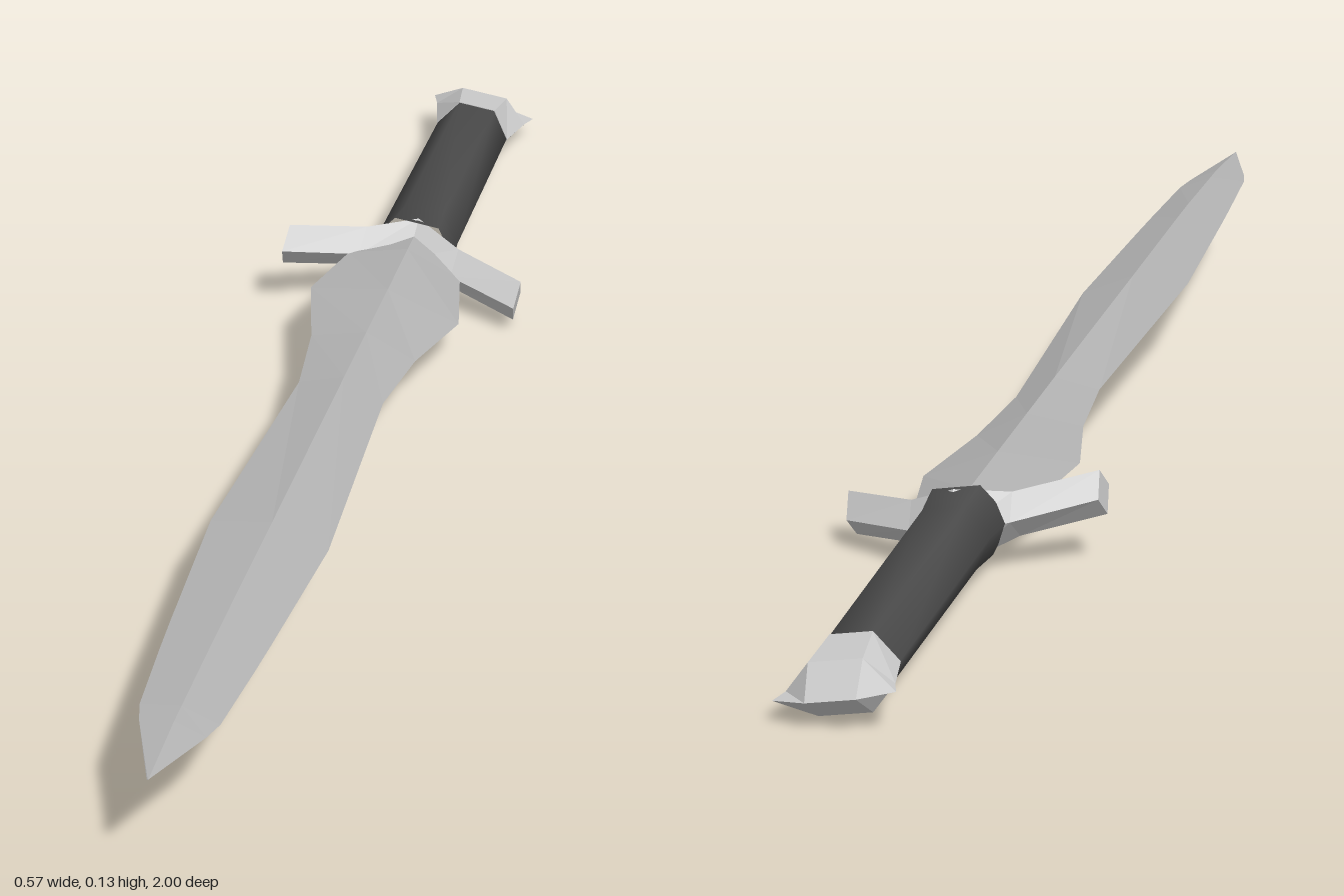
import * as THREE from 'three';

// Skin a list of equal-length rings of [x, y, z] points, with both ends capped.
function loft(rings, smooth = false) {
  const n = rings[0].length, pos = [], idx = [];
  rings.forEach(r => r.forEach(p => pos.push(...p)));
  for (let i = 0; i < rings.length - 1; i++) {
    for (let j = 0; j < n; j++) {
      const k = (j + 1) % n, a = i * n + j, b = i * n + k;
      idx.push(a, b, a + n, b, b + n, a + n);
    }
  }
  const last = (rings.length - 1) * n;
  for (let j = 1; j < n - 1; j++) {
    if (!smooth) idx.push(0, j + 1, j, last, last + j, last + j + 1);
  }
  const geo = new THREE.BufferGeometry();
  geo.setAttribute('position', new THREE.Float32BufferAttribute(pos, 3));
  geo.setIndex(idx);
  const out = smooth ? geo : geo.toNonIndexed();
  out.computeVertexNormals();
  return out;
}

// Six-sided ring across the grip axis
function hexRing(rx, ry, z) {
  return Array.from({ length: 6 }, (_, i) => {
    const a = i * Math.PI / 3;
    return [rx * Math.cos(a), ry * Math.sin(a), z];
  });
}

export function createModel() {
  const material = (name, color) => {
    const m = new THREE.MeshStandardMaterial({ color });
    m.name = name;
    return m;
  };
  const bladeSteel = material('blade steel', 0xb2b2b2);
  const fittingSteel = material('fitting steel', 0xcacaca);
  const gripDark = material('dark grip', 0x4a4a4a);

  const dagger = new THREE.Group();
  dagger.name = 'dagger';
  const add = (name, geo, mat) => {
    const mesh = new THREE.Mesh(geo, mat);
    mesh.name = name;
    dagger.add(mesh);
  };

  // Leaf-shaped blade: [distance from guard, half width, half thickness]
  const blade = [
    [-0.01, 0.06, 0.025], [0.045, 0.076, 0.025], [0.18, 0.1, 0.024],
    [0.32, 0.069, 0.023], [0.46, 0.055, 0.022], [0.88, 0.073, 0.018],
    [1.14, 0.06, 0.016], [1.21, 0.056, 0.015], [1.345, 0.047, 0.011],
    [1.38, 0.039, 0.01], [1.5, 0.001, 0.001],
  ].map(([z, w, t]) => [[w, 0, z], [0, t, z], [-w, 0, z], [0, -t, z]]);
  add('blade', loft(blade), bladeSteel);

  // Swept guard with diamond section: [x, centre z, half height, half depth]
  const guard = [
    [-0.158, 0.067, 0.028, 0.027], [-0.063, 0.014, 0.028, 0.03],
    [0, -0.012, 0.046, 0.03],
    [0.063, 0.014, 0.028, 0.03], [0.158, 0.067, 0.028, 0.027],
  ].map(([x, z, h, d]) => [[x, h, z], [x, 0, z + d], [x, -h, z], [x, 0, z - d]]);
  add('guard', loft(guard), fittingSteel);

  // Tapered grip with softened sides
  add('grip', loft([
    hexRing(0.05, 0.043, -0.45), hexRing(0.052, 0.046, -0.06), hexRing(0.06, 0.051, 0),
  ], true), gripDark);

  // Flared pommel closing to a wedge edge
  const edge = [
    [0.072, 0, -0.541], [0.03, 0, -0.556], [-0.03, 0, -0.556],
    [-0.072, 0, -0.541], [-0.03, 0, -0.556], [0.03, 0, -0.556],
  ];
  const shoulder = hexRing(0.064, 0.037, -0.515);
  add('pommel', loft([edge, shoulder, hexRing(0.051, 0.044, -0.448)]), fittingSteel);

  // Resting pose: turned, slightly raised at the tip and rolled
  dagger.rotation.set(-0.042, 0.245, -0.165, 'YXZ');
  dagger.position.set(-0.085, 0.061, -0.455);

  const model = new THREE.Group();
  model.add(dagger);
  return model;
}
